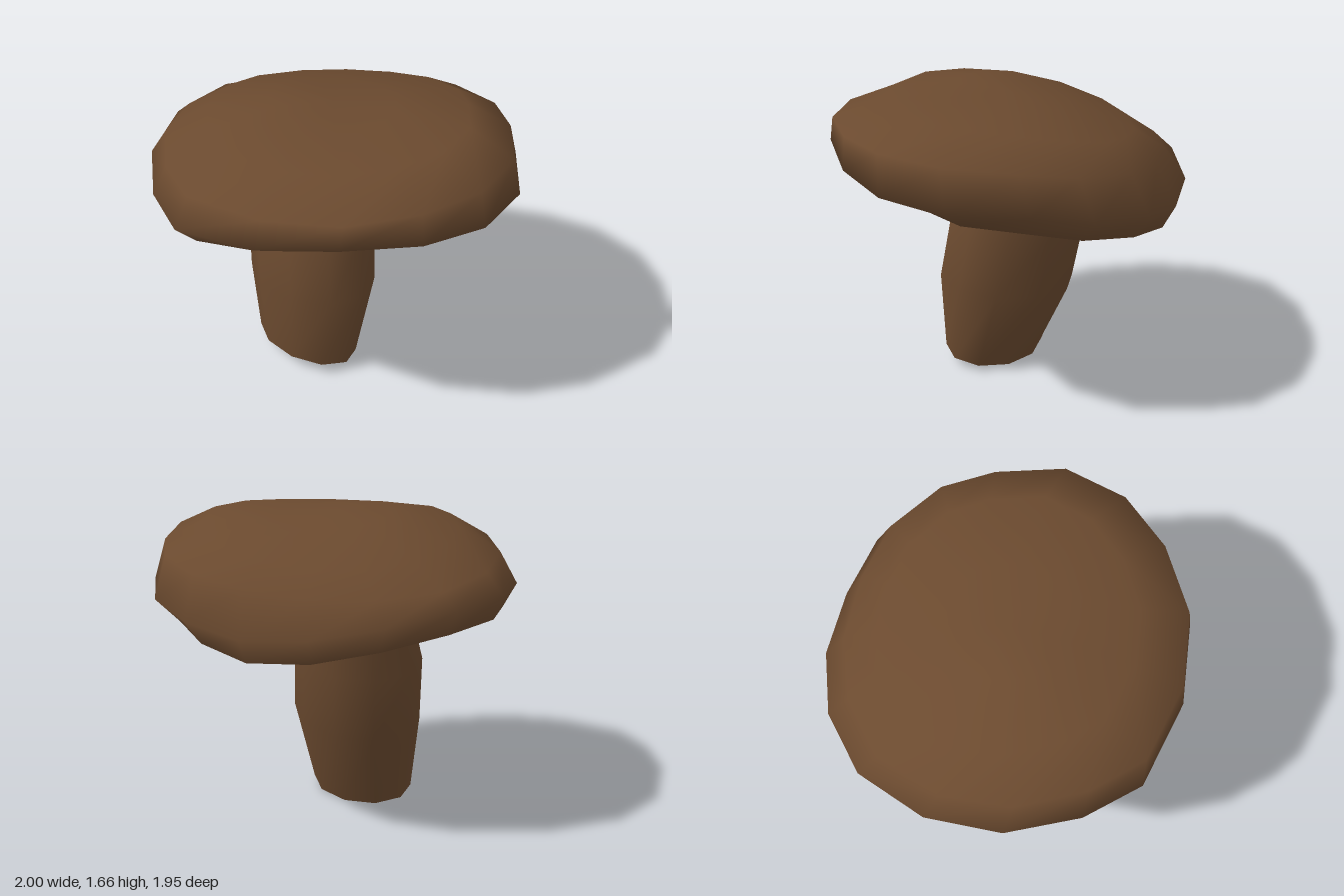
import * as THREE from 'three';

// Skin a stack of closed rings (bottom to top); optional apex point closes the top.
function loft(rings, apex) {
  const n = rings[0].length;
  const pos = rings.flat(2);
  const idx = [];
  for (let r = 0; r < rings.length - 1; r++) {
    for (let i = 0; i < n; i++) {
      const j = (i + 1) % n;
      const a = r * n + i, b = r * n + j, c = a + n, d = b + n;
      idx.push(a, c, b, b, c, d);
    }
  }
  if (apex) {
    const top = rings.length * n, base = top - n;
    pos.push(...apex);
    for (let i = 0; i < n; i++) idx.push(base + i, top, base + (i + 1) % n);
  }
  const g = new THREE.BufferGeometry();
  g.setAttribute('position', new THREE.Float32BufferAttribute(pos, 3));
  g.setIndex(idx);
  g.computeVertexNormals();
  return g;
}

export function createModel() {
  const group = new THREE.Group();
  group.name = 'mushroom';
  const brown = new THREE.MeshStandardMaterial({ color: 0x6b4a2f, side: THREE.DoubleSide });
  brown.name = 'brown';

  // Cap outline: x, z, height of the wavy lower lip, scale of the lip (it curls in at the front)
  const outline = [
    [-1, -0.07, 1.14, 0.93], [-0.9, -0.47, 1.15, 0.95], [-0.65, -0.8, 1.14, 0.95],
    [-0.3, -0.96, 1.08, 0.94], [0.07, -0.98, 1.02, 0.95], [0.43, -0.87, 0.99, 0.93],
    [0.73, -0.69, 1.04, 0.9], [0.94, -0.39, 1.09, 0.87], [1, -0.07, 1.15, 0.87],
    [0.98, 0.34, 1.16, 0.79], [0.77, 0.67, 1.185, 0.73], [0.45, 0.87, 1.22, 0.73],
    [0.04, 0.97, 1.26, 0.79], [-0.38, 0.9, 1.21, 0.82], [-0.79, 0.66, 1.15, 0.88],
    [-0.94, 0.34, 1.14, 0.91],
  ];
  const capRing = (scale, height, dx = 0, dz = 0) => outline.map(([x, z, lip]) => {
    const px = x * scale + dx, pz = z * scale + dz;
    return [px, height(px, pz, lip), pz];
  });
  // Hollow cap shell, open below
  const cap = new THREE.Mesh(loft([
    outline.map(([x, z, lip, s]) => [x * s, lip, z * s]),
    capRing(1, (x, z, lip) => lip + 0.13),
    capRing(0.93, (x, z) => 1.46 + 0.03 * x + 0.11 * z - 0.05 * z * z, 0.02, 0.05),
    capRing(0.7, (x, z) => 1.595 + 0.02 * x + 0.13 * z - 0.14 * z * z, 0.02),
    capRing(0.33, (x, z) => 1.65 - 0.05 * x + 0.09 * z - 0.25 * z * z),
  ], [0, 1.64, 0]), brown);
  cap.name = 'cap';
  group.add(cap);

  // Leaning, open-ended stem: centre x, y, z, radius x, radius z, tilt x, tilt z, diagonal skew
  const sections = [
    [-0.15, 0.05, 0.08, 0.285, 0.285, -0.1, 0.15, 0.35],
    [-0.12, 0.5, 0, 0.36, 0.39, 0, 0.14, 0.2],
    [-0.13, 0.87, -0.07, 0.36, 0.39, 0, 0.18, 0.2],
    [-0.11, 1.22, -0.17, 0.3, 0.35, 0, 0.2, 0.2],
  ];
  const sides = 10;
  const stemRings = sections.map(([cx, cy, cz, rx, rz, tiltX, tiltZ, skew]) =>
    Array.from({ length: sides }, (_, i) => {
      const a = (i / sides) * Math.PI * 2;
      const dx = -Math.cos(a) * rx, dz = -Math.sin(a + skew) * rz;
      return [cx + dx, cy + tiltX * dx + tiltZ * dz, cz + dz];
    }));
  const stem = new THREE.Mesh(loft(stemRings), brown);
  stem.name = 'stem';
  group.add(stem);

  return group;
}
